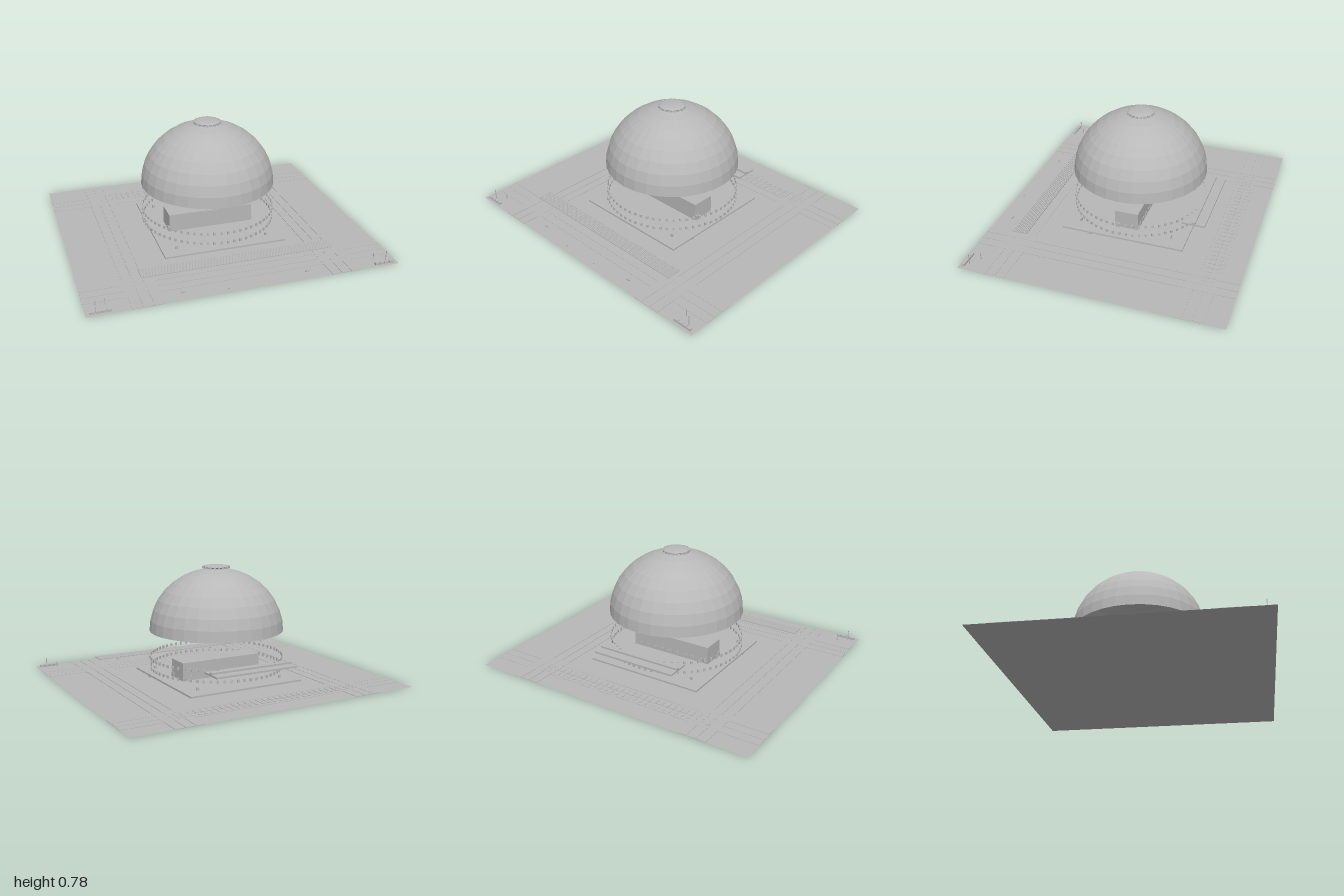
import * as THREE from 'three';

const CZ = -0.023; // centre of the dome along z

export function createModel() {
  const model = new THREE.Group();
  const concrete = new THREE.MeshStandardMaterial({
    color: 0xb8b8b8, flatShading: true, side: THREE.DoubleSide,
  });
  concrete.name = 'light grey concrete';

  const group = (name) => {
    const g = new THREE.Group();
    g.name = name;
    model.add(g);
    return g;
  };
  const add = (parent, name, geometry, x = 0, y = 0, z = 0) => {
    const mesh = new THREE.Mesh(geometry, concrete);
    mesh.name = name;
    mesh.position.set(x, y, z);
    parent.add(mesh);
    return mesh;
  };
  // box given by its lowest y
  const box = (parent, name, w, h, d, x, y, z) =>
    add(parent, name, new THREE.BoxGeometry(w, h, d), x, y + h / 2, z);

  // flat site
  const site = group('site');
  add(site, 'ground', new THREE.PlaneGeometry(2, 1.73).rotateX(-Math.PI / 2));

  // road lanes, three on each side, as thin plates
  for (const s of [-1, 1]) {
    for (let i = 0; i < 3; i++) {
      const p = s * (0.568 + i * 0.066);
      box(site, 'crossLane', 2, 0.002, 0.062, 0, 0, p);
      box(site, 'sideLane', 0.062, 0.003, 1.73, p, 0, 0);
    }
  }

  // two rows of parking bays behind the hall
  const parking = group('parking');
  for (let i = 0; i < 30; i++) {
    const x = -0.645 + i * 0.0437;
    box(parking, 'shortBay', 0.016, 0.005, 0.026, x, 0, -0.698);
    box(parking, 'longBay', 0.016, 0.005, 0.046, x, 0, -0.645);
  }

  // square floor slab with small corner posts
  const base = group('base');
  box(base, 'floorSlab', 0.825, 0.012, 0.835, 0, 0.016, CZ);
  for (const x of [-0.31, 0.31]) {
    box(base, 'bollard', 0.018, 0.02, 0.012, x, 0.028, 0.3);
    box(base, 'bollard', 0.018, 0.02, 0.008, x, 0.028, -0.335);
  }
  for (const x of [-0.395, 0.395]) {
    box(base, 'slabFoot', 0.02, 0.016, 0.02, x, 0, 0.2);
  }

  // inner hall with a front panel, entrance and a row of rear openings
  const hall = group('innerHall');
  box(hall, 'hallBody', 0.59, 0.122, 0.16, 0, 0.028, -0.02);
  box(hall, 'frontPanel', 0.115, 0.034, 0.008, -0.003, 0.11, 0.062);
  box(hall, 'sideDoor', 0.008, 0.034, 0.03, 0.298, 0.028, 0.04);
  box(hall, 'sideDoor', 0.008, 0.034, 0.03, -0.298, 0.028, 0.04);
  for (let i = 0; i < 9; i++) {
    box(hall, 'rearOpening', 0.03, 0.025, 0.006, -0.24 + i * 0.06, 0.034, -0.102);
  }

  // rear canopy with raised ridge
  const canopy = group('rearCanopy');
  box(canopy, 'canopySlab', 0.595, 0.012, 0.155, -0.002, 0.15, -0.478);
  box(canopy, 'canopyRidge', 0.595, 0.012, 0.026, -0.002, 0.162, -0.478);

  // two rings of small blocks under the dome
  const blocks = group('blockRings');
  for (const y of [0.08, 0.148]) {
    for (let i = 0; i < 64; i++) {
      const a = (i / 64) * Math.PI * 2;
      const b = box(blocks, 'ringBlock', 0.015, 0.02, 0.008,
        Math.sin(a) * 0.449, y, CZ + Math.cos(a) * 0.449);
      b.rotation.y = a;
    }
  }

  // open faceted dome shell
  const profile = [];
  for (let i = 0; i <= 9; i++) {
    const a = (i / 9) * Math.PI / 2;
    profile.push(new THREE.Vector2(Math.cos(a) * 0.452, 0.338 + Math.sin(a) * 0.418));
  }
  profile[9].x = 0;
  add(model, 'dome', new THREE.LatheGeometry(profile, 32), 0, 0, CZ);

  // skylight on the crown
  const skylight = group('skylight');
  const lens = add(skylight, 'skylightLens', new THREE.SphereGeometry(0.088, 14, 8), 0, 0.764, CZ);
  lens.scale.y = 0.16;
  for (let i = 0; i < 20; i++) {
    const a = (i / 20) * Math.PI * 2;
    const b = box(skylight, 'skylightBlock', 0.016, 0.013, 0.008,
      Math.sin(a) * 0.087, 0.755, CZ + Math.cos(a) * 0.087);
    b.rotation.y = a;
  }

  // long slatted pergola at the front
  const pergola = group('frontPergola');
  for (let i = 0; i < 9; i++) {
    box(pergola, 'slat', 1.255, 0.005, 0.0095, -0.002, 0.071, 0.564 + i * 0.0115);
  }

  // low corner blocks and flagpoles, mirrored
  const corners = group('frontCorners');
  for (const s of [-1, 1]) {
    for (let i = 0; i < 4; i++) {
      box(corners, 'cornerBlock', 0.028, 0.014, 0.018, s * (0.86 + i * 0.033), 0, 0.837);
    }
    box(corners, 'tallPole', 0.004, 0.07, 0.004, s * 0.935, 0, 0.812);
    box(corners, 'shortPole', 0.004, 0.042, 0.004, s * 0.872, 0, 0.765);
    box(corners, 'bench', 0.026, 0.008, 0.008, s * 0.4, 0, 0.78);
    box(corners, 'marker', 0.006, 0.008, 0.006, s * 0.13, 0, 0.824);
  }

  return model;
}
